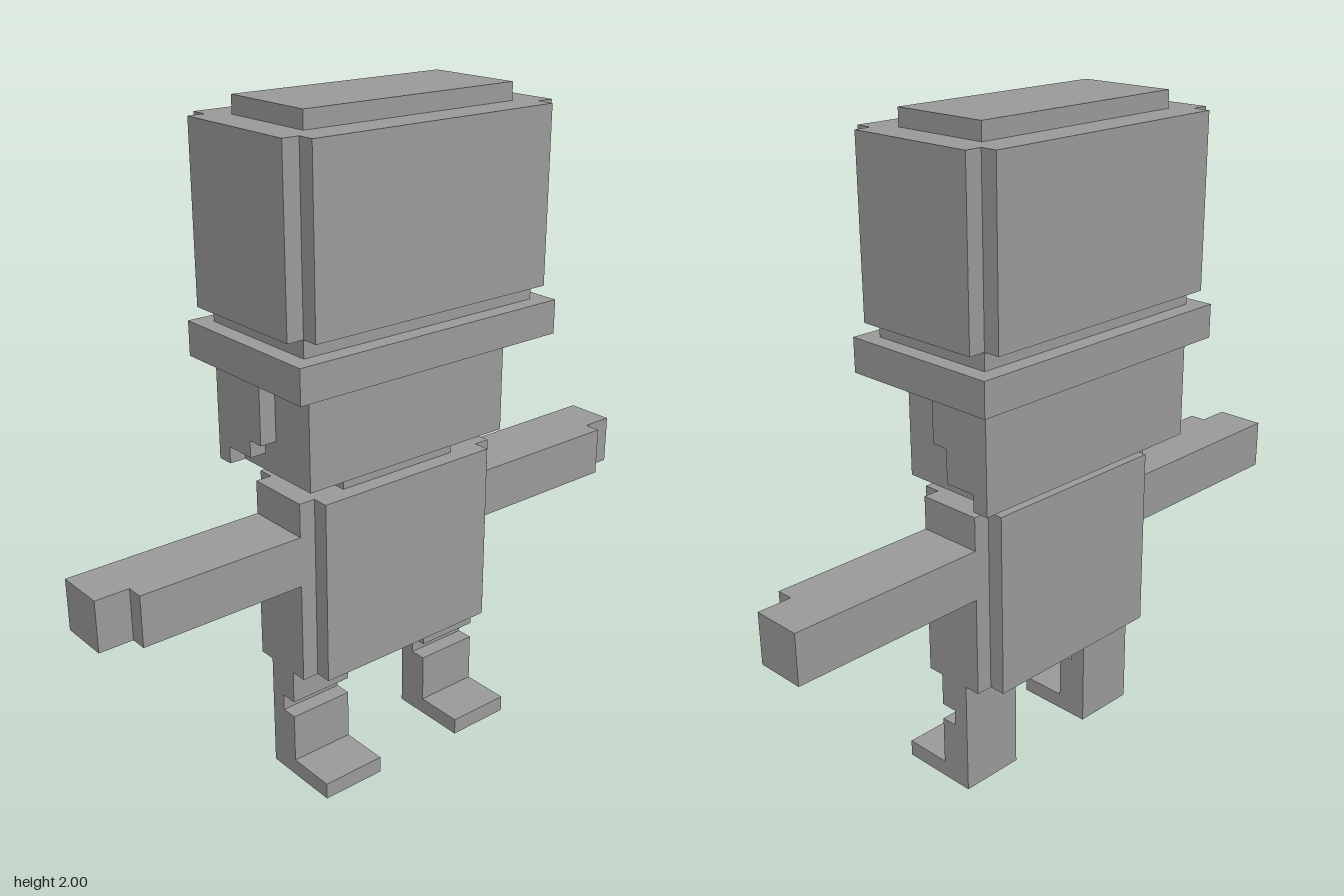
import * as THREE from 'three';

const U = 2 / 39; // one block unit
const material = new THREE.MeshStandardMaterial({ color: 0x9c9c9c, flatShading: true });

function addMesh(group, name, geometry) {
  const mesh = new THREE.Mesh(geometry.scale(U, U, U), material);
  mesh.name = name;
  group.add(mesh);
}

// Box from half width, y range and half depth
function slab(group, name, hx, y0, y1, hz) {
  addMesh(group, name, new THREE.BoxGeometry(hx * 2, y1 - y0, hz * 2).translate(0, (y0 + y1) / 2, 0));
}

function extrude(points, depth) {
  const shape = new THREE.Shape(points.map(([a, b]) => new THREE.Vector2(a, b)));
  return new THREE.ExtrudeGeometry(shape, { depth, bevelEnabled: false });
}

// Plan outline of [x, z] points, raised from y0 to y1
function plan(group, name, points, y0, y1) {
  const geometry = extrude(points.map(([x, z]) => [x, -z]), y1 - y0);
  addMesh(group, name, geometry.rotateX(-Math.PI / 2).translate(0, y0, 0));
}

// Side outline of [z, y] points, spanning x0 to x1
function side(group, name, points, x0, x1) {
  addMesh(group, name, extrude(points, x1 - x0).rotateY(-Math.PI / 2).translate(x1, 0, 0));
}

// Rectangle with a one-unit notch at each corner
function notched(x, z) {
  const a = x - 1, b = z - 1;
  return [[-a, -z], [a, -z], [a, -b], [x, -b], [x, b], [a, b],
    [a, z], [-a, z], [-a, b], [-x, b], [-x, -b], [-a, -b]];
}

export function createModel() {
  const model = new THREE.Group();
  model.name = 'blockFigure';

  // Body and head
  plan(model, 'torso', notched(7, 3), 7, 18);
  slab(model, 'neck', 4, 18, 19, 2);
  slab(model, 'head', 7, 19, 25, 3);

  // Hat
  slab(model, 'hatBrim', 9, 25, 27, 5);
  slab(model, 'hatBand', 8, 27, 28, 4);
  plan(model, 'hatCrown', notched(9, 5), 28, 38);
  slab(model, 'hatTop', 7, 38, 39, 3);

  // Hair: back panel and stepped sides, one side cut a unit lower
  addMesh(model, 'hairBack', new THREE.BoxGeometry(16, 6, 1).translate(0, 22, -3.5));
  const hair = (step) => [[-3, 19], [-3, 20], [-1, 20], [-1, step], [0, step], [0, 25], [-3, 25]];
  side(model, 'hairLeft', hair(22), 7, 8);
  side(model, 'hairRight', hair(21), -8, -7);

  // Arms with narrower hands, and legs with a knee notch and long feet
  const leg = [[-1, 0], [4, 0], [4, 1], [1, 1], [1, 4], [0, 4], [0, 5], [1, 5], [1, 7], [-1, 7]];
  for (const [s, label] of [[1, 'left'], [-1, 'right']]) {
    const arm = [[7, -2], [19, -2], [19, 1], [17, 1], [17, 2], [7, 2]];
    plan(model, label + 'Arm', arm.map(([x, z]) => [s * x, z]), 13, 16);
    side(model, label + 'Leg', leg, s > 0 ? 3 : -7, s > 0 ? 7 : -3);
  }
  return model;
}
